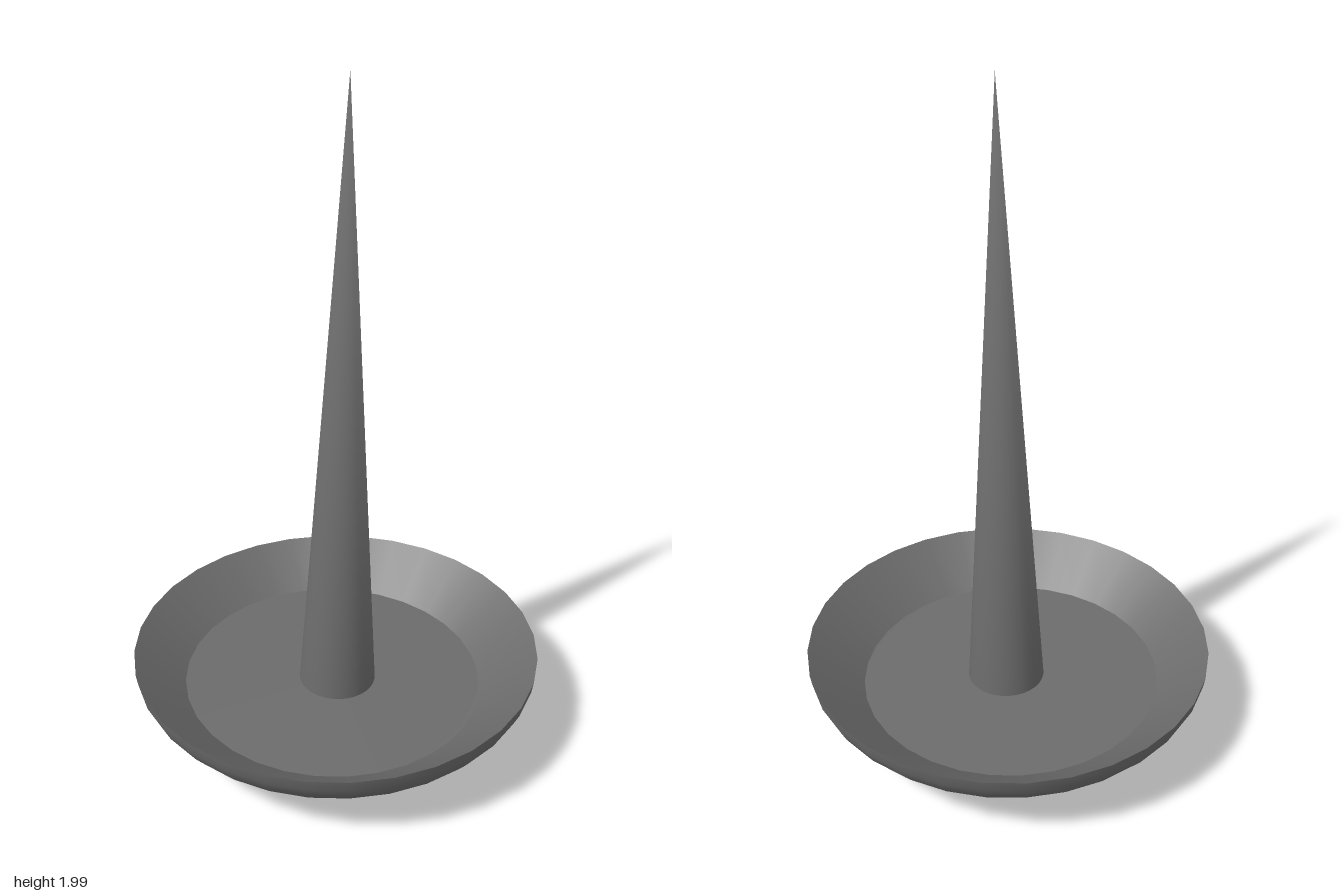
import * as THREE from 'three';

const RIM_RADIUS = 0.611, RIM_Y = 0.257, SIDES = 32;

export function createModel() {
  const group = new THREE.Group();
  const material = new THREE.MeshStandardMaterial({ color: 0x6c6c6c });
  const add = (parent, name, geometry) => {
    const mesh = new THREE.Mesh(geometry, material);
    mesh.name = name;
    parent.add(mesh);
  };
  const lathe = (...points) => new THREE.LatheGeometry(
    points.map(([r, y]) => new THREE.Vector2(r, y)), SIDES);

  // Dish outside: a quarter ellipse from the bottom up to the sharp rim
  const bowl = [];
  for (let i = 0; i <= 12; i++) {
    const a = Math.PI / 2 * i / 12;
    bowl.push([RIM_RADIUS * Math.sin(a), RIM_Y * (1 - Math.cos(a))]);
  }
  add(group, 'dishOutside', lathe(...bowl));

  // Dish inside: straight sloping wall, then a shallow ledge that dips under the floor
  add(group, 'dishWall', lathe([RIM_RADIUS, RIM_Y], [0.443, 0.126]));
  add(group, 'dishLedge', lathe([0.443, 0.126], [0.3, 0.108]));

  // Floor and spike share one slightly leaning axis
  const base = new THREE.Vector3(0, 0.133, -0.006);
  const axis = new THREE.Vector3(0.035, 1.992, -0.018).sub(base);
  const height = axis.length();
  const leaning = new THREE.Group();
  leaning.name = 'leaningCore';
  leaning.position.copy(base);
  leaning.quaternion.setFromUnitVectors(new THREE.Vector3(0, 1, 0), axis.normalize());
  group.add(leaning);

  // The floor's edge is buried in the thickness of the dish
  add(leaning, 'dishFloor', new THREE.CircleGeometry(0.49, SIDES).rotateX(-Math.PI / 2));

  // Spike: normals turn from sideways at the base to straight up at the tip
  const spike = new THREE.ConeGeometry(0.116, height, SIDES, 1, true).translate(0, height / 2, 0);
  for (let i = 0; i <= SIDES; i++) spike.attributes.normal.setXYZ(i, 0, 1, 0);
  add(leaning, 'spike', spike);

  return group;
}
